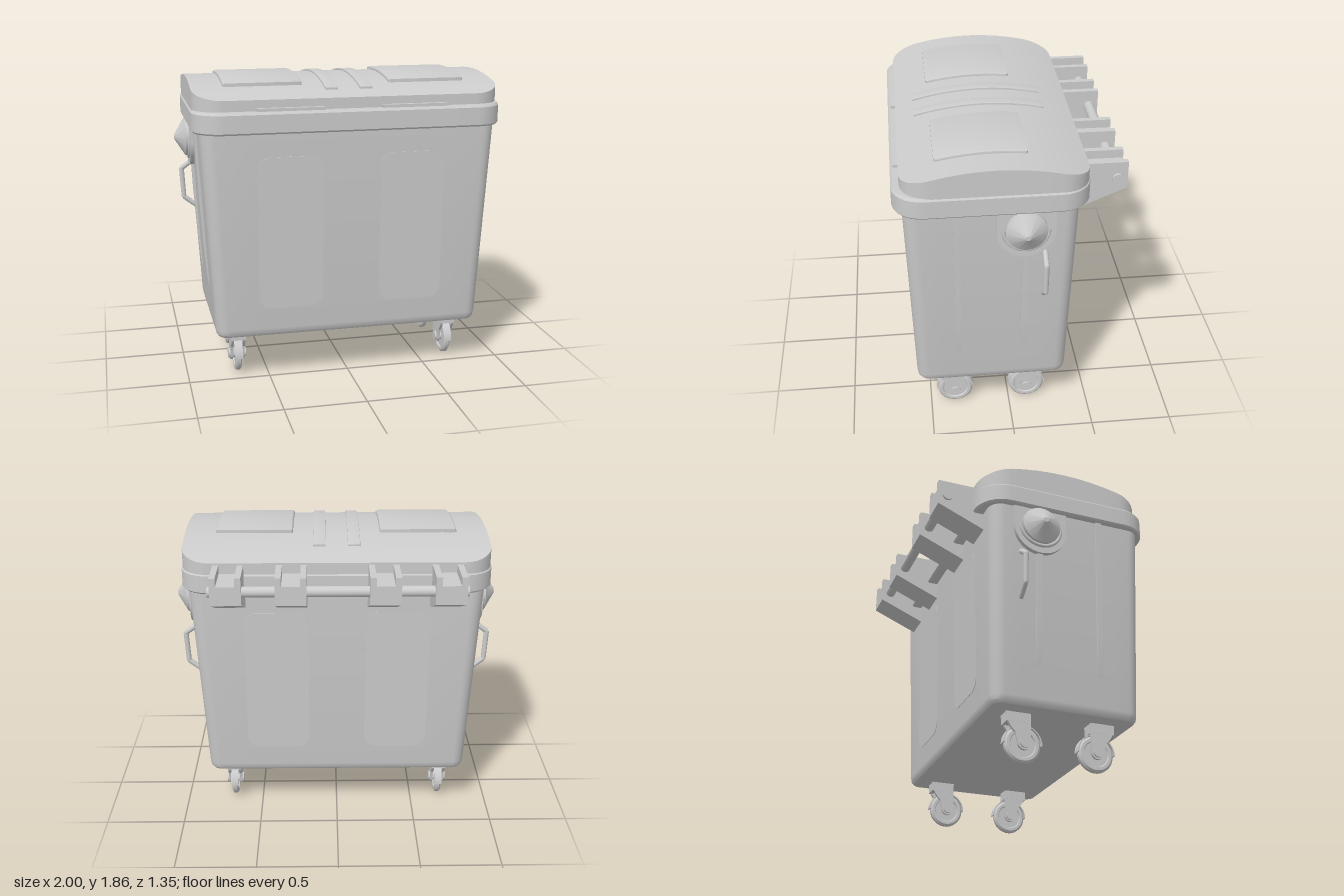
import * as THREE from 'three';
import { toCreasedNormals } from 'three/addons/utils/BufferGeometryUtils.js';

const mat = new THREE.MeshStandardMaterial({ color: 0xcccccc });

function add(parent, name, geo) {
  const m = new THREE.Mesh(geo, mat);
  m.name = name;
  parent.add(m);
  return m;
}

// Rounded rectangle in plan, with subdivided straight sides
function ring({ y, hx, z0, z1, r }) {
  const pts = [], n = 8;
  const corners = [[hx - r, z1 - r], [-hx + r, z1 - r], [-hx + r, z0 + r], [hx - r, z0 + r]];
  corners.forEach(([cx, cz], q) => {
    for (let i = 0; i <= n; i++) {
      const a = (q + i / n) * Math.PI / 2;
      pts.push([cx + r * Math.cos(a), cz + r * Math.sin(a)]);
    }
    const [ax, az] = pts[pts.length - 1], [nx, nz] = corners[(q + 1) % 4];
    const a = (q + 1) * Math.PI / 2;
    const ex = nx + r * Math.cos(a), ez = nz + r * Math.sin(a);
    for (let i = 1; i < n; i++) pts.push([ax + (ex - ax) * i / n, az + (ez - az) * i / n]);
  });
  return pts.map(([x, z]) => [x, typeof y === 'function' ? y(z) : y, z]);
}

// Closed skin through rounded-rectangle sections, bottom to top
function loft(sections, crease = 0.5) {
  const rings = sections.map(ring), n = rings[0].length, pos = rings.flat(2), idx = [];
  for (let k = 0; k < rings.length - 1; k++) {
    for (let i = 0; i < n; i++) {
      const j = (i + 1) % n, a = k * n + i, an = k * n + j, b = a + n, bn = an + n;
      idx.push(a, b, an, an, b, bn);
    }
  }
  [[0, false], [rings.length - 1, true]].forEach(([k, top]) => {
    const c = pos.length / 3, s = sections[k], cz = (s.z0 + s.z1) / 2;
    pos.push(0, typeof s.y === 'function' ? s.y(cz) : s.y, cz);
    for (let i = 0; i < n; i++) {
      const a = k * n + i, b = k * n + (i + 1) % n;
      idx.push(c, top ? b : a, top ? a : b);
    }
  });
  const g = new THREE.BufferGeometry();
  g.setAttribute('position', new THREE.Float32BufferAttribute(pos, 3));
  g.setIndex(idx);
  return toCreasedNormals(g, crease);
}

const shapeOf = pts => new THREE.Shape(pts.map(p => new THREE.Vector2(...p)));

// Extrudes a (z, y) profile across x, centred on x
function across(shape, x, width, bevel = 0) {
  const g = new THREE.ExtrudeGeometry(shape, {
    depth: width - 2 * bevel, bevelEnabled: bevel > 0, bevelSize: bevel, bevelOffset: -bevel,
    bevelThickness: bevel, bevelSegments: 3, curveSegments: 24,
  });
  return toCreasedNormals(g.translate(0, 0, bevel - width / 2).rotateY(-Math.PI / 2).translate(x, 0, 0), 0.5);
}

// Lid crown height, and a raised strip that follows it
const crown = z => 1.753 + 0.092 * Math.max(0, 1 - ((z - 0.095) / 0.537) ** 2);
function crownStrip(x, width, z0, z1, t, bevel) {
  const up = [], down = [];
  for (let i = 0; i <= 16; i++) {
    const z = z0 + (z1 - z0) * i / 16;
    up.push([z, crown(z) + t]);
    down.unshift([z, crown(z) - 0.03]);
  }
  return across(shapeOf([...up, ...down]), x, width, bevel);
}

function roundRect(w, h, r) {
  const s = new THREE.Shape();
  s.absarc(w / 2 - r, h / 2 - r, r, 0, Math.PI / 2);
  s.absarc(-w / 2 + r, h / 2 - r, r, Math.PI / 2, Math.PI);
  s.absarc(-w / 2 + r, -h / 2 + r, r, Math.PI, Math.PI * 1.5);
  s.absarc(w / 2 - r, -h / 2 + r, r, Math.PI * 1.5, Math.PI * 2);
  return s;
}

// Swivel caster; d is the direction the fork trails in z
function caster(x, z, d) {
  const g = new THREE.Group();
  g.name = 'caster';
  const tyre = [[0.02, -0.012], [0.075, -0.012], [0.08, -0.02], [0.098, -0.02], [0.11, -0.01],
    [0.11, 0.01], [0.098, 0.02], [0.08, 0.02], [0.075, 0.012], [0.02, 0.012]];
  const wheel = new THREE.LatheGeometry(tyre.map(p => new THREE.Vector2(...p)), 36);
  add(g, 'wheel', toCreasedNormals(wheel.rotateZ(Math.PI / 2).translate(0, 0.11, 0), 0.6));
  add(g, 'axle', new THREE.CylinderGeometry(0.03, 0.03, 0.11, 20).rotateZ(Math.PI / 2).translate(0, 0.11, 0));
  const arm = new THREE.Shape();
  arm.moveTo(-0.04 * d, 0.3);
  arm.lineTo(-0.04 * d, 0.11);
  arm.absarc(0, 0.11, 0.04, d > 0 ? Math.PI : 0, d > 0 ? Math.PI * 2 : -Math.PI, d < 0);
  arm.lineTo(0.055 * d, 0.17);
  arm.quadraticCurveTo(0.11 * d, 0.22, 0.112 * d, 0.3);
  for (const s of [-1, 1]) add(g, 'forkArm', across(arm, s * 0.036, 0.016));
  add(g, 'forkHead', new THREE.BoxGeometry(0.09, 0.07, 0.148).translate(0, 0.265, 0.035 * d));
  // Guard over the upper half of the wheel
  const guard = new THREE.Shape();
  guard.absarc(0, 0.11, 0.118, 0, Math.PI);
  guard.absarc(0, 0.11, 0.111, Math.PI, 0, true);
  add(g, 'wheelGuard', across(guard, 0, 0.05));
  g.position.set(x, 0, z);
  return g;
}

export function createModel() {
  const root = new THREE.Group();
  root.name = 'wheeledContainer';

  // Tapered body
  add(root, 'body', loft([
    { y: 0.29, hx: 0.79, z0: -0.305, z1: 0.54, r: 0.04 },
    { y: 0.297, hx: 0.813, z0: -0.328, z1: 0.563, r: 0.06 },
    { y: 0.315, hx: 0.826, z0: -0.341, z1: 0.576, r: 0.07 },
    { y: 0.345, hx: 0.832, z0: -0.346, z1: 0.581, r: 0.075 },
    { y: 1.57, hx: 0.9, z0: -0.38, z1: 0.62, r: 0.085 },
  ]));

  // Collar around the opening
  add(root, 'rim', loft([
    { y: 1.56, hx: 0.93, z0: -0.435, z1: 0.668, r: 0.17 },
    { y: 1.57, hx: 0.94, z0: -0.445, z1: 0.675, r: 0.18 },
    { y: 1.675, hx: 0.94, z0: -0.445, z1: 0.675, r: 0.18 },
    { y: 1.69, hx: 0.928, z0: -0.433, z1: 0.663, r: 0.17 },
  ]));

  // Lid: straight skirt, then a crown arched front to back
  const lid = [
    { y: 1.68, hx: 0.932, z0: -0.438, z1: 0.628, r: 0.17 },
    { y: 1.745, hx: 0.932, z0: -0.438, z1: 0.628, r: 0.17 },
  ];
  for (let k = 0; k < 10; k++) {
    const s = 1 - k / 10;
    lid.push({ y: crown, hx: 0.932 * s, z0: 0.095 - 0.533 * s, z1: 0.095 + 0.533 * s, r: 0.17 * s });
  }
  add(root, 'lid', loft(lid));

  for (const s of [-1, 1]) {
    add(root, 'lidPanel', crownStrip(s * 0.505, 0.475, -0.095, 0.43, 0.02, 0.014));
    add(root, 'lidRib', crownStrip(s * 0.105, 0.075, -0.27, 0.52, 0.012, 0.003));
    add(root, 'lidGrip', new THREE.BoxGeometry(0.4, 0.02, 0.05).translate(s * 0.373, 1.698, 0.632));

    // Shallow rounded panels pressed on front and back walls
    const panel = () => new THREE.ExtrudeGeometry(roundRect(0.396, 0.94, 0.08), { depth: 0.01, bevelEnabled: false });
    const f = add(root, 'frontPanel', panel());
    f.position.set(s * 0.373, 0.945, 0.5935);
    f.rotation.x = 0.032;
    const b = add(root, 'backPanel', panel());
    b.position.set(s * 0.373, 0.945, -0.356);
    b.rotation.set(-0.028, Math.PI, 0, 'XYZ');

    // Upright ribs on the end walls
    const rib = [[0.84, 0.52], [0.855, 0.62], [0.872, 0.82], [0.89, 1.1], [0.912, 1.565], [0.87, 1.565], [0.82, 0.52]];
    for (const z of [0.322, -0.07]) {
      const g = new THREE.ExtrudeGeometry(shapeOf(rib.map(([x, y]) => [s * x, y])), { depth: 0.036, bevelEnabled: false });
      add(root, 'sideRib', toCreasedNormals(g.translate(0, 0, z - 0.018), 0.5));
    }

    // Lifting trunnion: U-shaped plate, ring and cone
    const plate = new THREE.Shape();
    plate.moveTo(0.1, 1.565);
    plate.lineTo(-0.24, 1.565);
    plate.lineTo(-0.24, 1.43);
    plate.absarc(-0.07, 1.43, 0.17, Math.PI, Math.PI * 2);
    add(root, 'trunnionPlate', across(plate, s * 0.887, 0.05));
    const collar = new THREE.TorusGeometry(0.13, 0.012, 8, 40, Math.PI).rotateZ(Math.PI).rotateY(Math.PI / 2);
    add(root, 'trunnionRing', collar.translate(s * 0.912, 1.44, -0.07));
    const cone = [[0, 0], [0.12, 0], [0.12, 0.035], [0.018, 0.098], [0.016, 0.1], [0, 0.1]];
    const trunnion = new THREE.LatheGeometry(cone.map(p => new THREE.Vector2(...p)), 40);
    add(root, 'trunnionCone', toCreasedNormals(trunnion.rotateZ(-s * Math.PI / 2).translate(s * 0.9, 1.44, -0.07), 0.4));

    // Bent bar handle
    const pts = [[0.87, 1.27], [0.953, 1.21], [0.943, 1.02], [0.86, 0.955]].map(([x, y]) => new THREE.Vector3(s * x, y, -0.185));
    const path = new THREE.CurvePath();
    for (let i = 0; i < 3; i++) path.add(new THREE.LineCurve3(pts[i], pts[i + 1]));
    add(root, 'sideHandle', new THREE.TubeGeometry(path, 48, 0.016, 10));

    root.add(caster(s * 0.685, 0.343, 1), caster(s * 0.685, -0.116, -1));
  }

  // Hinge brackets: filled block between two taller cheeks
  const bracket = top => shapeOf([[-0.36, top], [-0.67, top], [-0.67, 1.575], [-0.375, 1.45]]);
  for (const x of [-0.655, -0.277, 0.27, 0.645]) {
    add(root, 'hingeBlock', across(bracket(1.69), x, 0.12));
    for (const s of [-1, 1]) add(root, 'hingeCheek', across(bracket(1.742), x + s * 0.073, 0.036));
  }
  add(root, 'hingeRod', new THREE.CylinderGeometry(0.032, 0.032, 1.515, 24).rotateZ(Math.PI / 2).translate(-0.003, 1.64, -0.612));

  return root;
}
